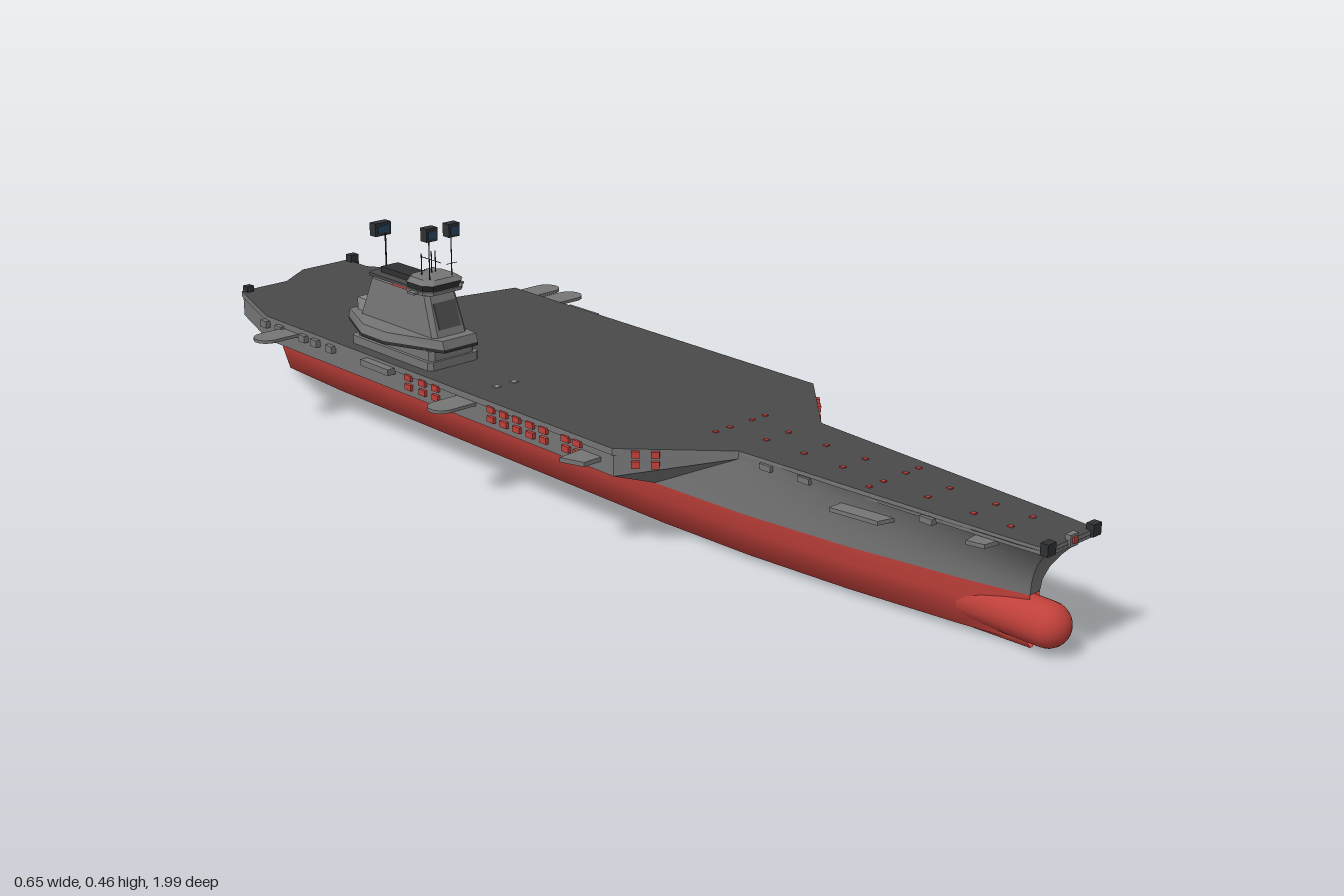
import * as THREE from 'three';

const mat = (name, color) => new THREE.MeshStandardMaterial({ name, color, side: THREE.DoubleSide });

export function createModel() {
  const ship = new THREE.Group();
  ship.name = 'aircraftCarrier';
  const grey = mat('hull grey', 0x757575);
  const deckGrey = mat('deck grey', 0x4a4a4a);
  const red = mat('red', 0xc0403a);
  const dark = mat('dark grey', 0x2e3032);
  const blue = mat('radar blue', 0x27455f);
  const pale = mat('pale grey', 0x8c8c8c);

  const add = (name, geo, material, x = 0, y = 0, z = 0, ry = 0) => {
    const m = new THREE.Mesh(geo, material);
    m.name = name;
    m.position.set(x, y, z);
    m.rotation.y = ry;
    ship.add(m);
    return m;
  };
  const box = (name, material, w, h, d, x, y, z, ry) =>
    add(name, new THREE.BoxGeometry(w, h, d), material, x, y, z, ry);

  // Skin stretched over rows of [x, y, z] points
  const skin = (rows, smooth = false) => {
    const n = rows[0].length, index = [];
    for (let i = 0; i < rows.length - 1; i++)
      for (let j = 0; j < n - 1; j++) {
        const a = i * n + j, b = a + n;
        index.push(a, b, a + 1, b, b + 1, a + 1);
      }
    let g = new THREE.BufferGeometry();
    g.setAttribute('position', new THREE.Float32BufferAttribute(rows.flat(2), 3));
    g.setIndex(index);
    if (!smooth) g = g.toNonIndexed();
    g.computeVertexNormals();
    return g;
  };
  // Horizontal slab from an [x, z] outline, bottom at y
  const slab = (name, material, outline, y, h) => {
    const shape = new THREE.Shape(outline.map(([x, z]) => new THREE.Vector2(x, -z)));
    const g = new THREE.ExtrudeGeometry(shape, { depth: h, bevelEnabled: false });
    return add(name, g.rotateX(-Math.PI / 2), material, 0, y, 0);
  };
  // Closed prism whose top and bottom outlines differ
  const prism = (name, material, low, high, y0, y1) => {
    const ring = (p, y) => [...p, p[0]].map(([x, z]) => [x, y, z]);
    const hub = (p, y) => {
      const c = [0, 1].map(k => p.reduce((s, q) => s + q[k], 0) / p.length);
      return [...p, p[0]].map(() => [c[0], y, c[1]]);
    };
    return add(name, skin([hub(low, y0), ring(low, y0), ring(high, y1), hub(high, y1)]), material);
  };

  // Red underwater hull: stations of [z, half width]
  const stations = [[-0.945, 0.1], [-0.75, 0.11], [0.2, 0.11], [0.4, 0.1], [0.6, 0.076], [0.8, 0.04], [0.88, 0.022], [0.92, 0.012]];
  const bilge = [[1, 0.092], [0.96, 0.062], [0.8, 0.012], [0.28, 0.002]];
  const ring = ([z, w]) => [
    ...bilge.map(([k, y]) => [-w * k, y, z]),
    ...[...bilge].reverse().map(([k, y]) => [w * k, y, z])];
  add('underwaterHull', skin(stations.map(ring), true), red);
  const sternRing = ring(stations[0]);
  add('lowerTransom', skin([sternRing.map(() => [0, 0.092, -0.945]), sternRing]), red);
  const bulb = new THREE.CapsuleGeometry(0.037, 0.36, 8, 20).rotateX(Math.PI / 2);
  add('bulbousBow', bulb, red, 0, 0.05, 0.767);

  // Flared topsides: deck half width and deck z over each waterline station
  const rim = [[0.108, -0.945], [0.11, -0.75], [0.11, 0.2], [0.1, 0.4], [0.09, 0.6], [0.073, 0.83], [0.066, 0.93], [0.06, 0.982]];
  const steps = [0, 0.2, 0.4, 0.6, 0.8, 1];
  const topside = s => stations.map(([z, w], i) => steps.map(t => {
    const f = t * t;
    return [s * (w + (rim[i][0] - w) * f), 0.092 + 0.103 * t, z + (rim[i][1] - z) * f];
  }));
  for (const s of [1, -1]) add('topside', skin(topside(s), true), grey);
  add('stem', skin([topside(1).at(-1), topside(-1).at(-1)], true), grey);

  // Flight deck with the lift notch on the left quarter
  const outline = [[0.06, 0.98], [0.067, 0.9], [0.1, 0.39], [0.243, 0.24], [0.243, -0.59], [0.1, -0.622],
    [0.088, -0.63], [0.088, -0.77], [0.195, -0.77], [0.195, -0.81], [0.115, -0.93], [0.115, -1], [0, -1],
    [-0.075, -0.95], [-0.185, -0.95], [-0.245, -0.77], [-0.245, 0.24], [-0.1, 0.39], [-0.067, 0.9], [-0.06, 0.98]];
  slab('flightDeck', [deckGrey, grey], outline, 0.188, 0.012);

  // Side sponsons: each row is deck edge, knuckle, waterline
  const sponson = (rows, name) => {
    add(name + 'Side', skin(rows.map(r => r.slice(0, 2))), grey);
    add(name + 'Underside', skin(rows.map(r => r.slice(1))), grey);
  };
  const nose = s => [
    [[s * 0.1, 0.198, 0.389], [s * 0.1, 0.186, 0.389], [s * 0.11, 0.092, 0.2]],
    [[s * 0.242, 0.198, 0.24], [s * 0.242, 0.15, 0.24], [s * 0.11, 0.092, 0.2]]];
  sponson([...nose(1),
    [[0.242, 0.198, -0.59], [0.242, 0.15, -0.59], [0.11, 0.092, -0.6]],
    [[0.09, 0.198, -0.63], [0.09, 0.15, -0.63], [0.09, 0.092, -0.62]]], 'leftSponson');
  sponson([...nose(-1),
    [[-0.244, 0.198, -0.77], [-0.244, 0.15, -0.77], [-0.11, 0.092, -0.75]],
    [[-0.185, 0.198, -0.945], [-0.185, 0.15, -0.945], [-0.1, 0.092, -0.945]],
    [[-0.09, 0.198, -0.945], [-0.09, 0.15, -0.945], [-0.09, 0.092, -0.945]]], 'rightSponson');

  // Left stern quarter with its framed opening
  slab('sternQuarter', grey, [[0.08, -0.772], [0.194, -0.772], [0.194, -0.81], [0.115, -0.943], [0.08, -0.943]], 0.095, 0.095);
  const port = (w, h) => {
    const c = 0.012;
    return [[-w, -h + c], [-w + c, -h], [w - c, -h], [w, -h + c], [w, h - c], [w - c, h], [-w + c, h], [-w, h - c]]
      .map(p => new THREE.Vector2(...p));
  };
  const frame = new THREE.Shape(port(0.056, 0.029));
  frame.holes.push(new THREE.Path(port(0.048, 0.022)));
  const quarterTurn = Math.PI / 2 + Math.atan2(0.079, 0.133);
  add('sternPortFrame', new THREE.ExtrudeGeometry(frame, { depth: 0.005, bevelEnabled: false }), dark, 0.155, 0.148, -0.877, quarterTurn);
  add('sternPort', new THREE.ShapeGeometry(new THREE.Shape(port(0.048, 0.022))), deckGrey, 0.1565, 0.148, -0.878, quarterTurn);

  // Transom, its dark bay, and the ledge below
  box('transom', grey, 0.2, 0.104, 0.006, 0, 0.143, -0.944);
  box('transomBay', dark, 0.17, 0.055, 0.006, 0, 0.155, -0.947);
  box('sternLedge', grey, 0.16, 0.006, 0.045, 0, 0.108, -0.968);
  for (const x of [-0.05, 0, 0.05]) box('bayPost', pale, 0.006, 0.055, 0.006, x, 0.155, -0.95);

  // Round-ended gallery platforms
  for (const [s, y, z] of [[-1, 0.184, -0.69], [-1, 0.184, -0.145], [1, 0.193, -0.555], [1, 0.193, -0.485]]) {
    box('platform', grey, 0.06, 0.006, 0.054, s * 0.268, y, z);
    add('platformEnd', new THREE.CylinderGeometry(0.027, 0.027, 0.006, 20), grey, s * 0.297, y, z);
  }
  slab('sideWing', grey, [[-0.24, 0.16], [-0.295, 0.165], [-0.28, 0.21], [-0.24, 0.21]], 0.168, 0.008);
  for (const s of [1, -1]) {
    box('sideGallery', grey, 0.022, 0.012, 0.085, s * 0.25, 0.188, -0.395);
    slab('bowGallery', grey, [[s * 0.07, 0.6], [s * 0.112, 0.6], [s * 0.1, 0.69], [s * 0.06, 0.7]], 0.16, 0.007);
    slab('bowWing', grey, [[s * 0.05, 0.85], [s * 0.092, 0.855], [s * 0.085, 0.885], [s * 0.05, 0.89]], 0.178, 0.007);
    box('bowBox', dark, 0.02, 0.02, 0.014, s * 0.056, 0.2, 0.978);
    for (const z of [0.45, 0.53, 0.77]) box('bowLocker', grey, 0.012, 0.01, 0.025, s * (0.1 - (z - 0.39) * 0.06), 0.188, z);
  }
  box('bowCentreBox', grey, 0.02, 0.02, 0.01, 0, 0.199, 0.979);
  box('bowLight', red, 0.01, 0.01, 0.004, 0, 0.2, 0.985);
  box('sternBox', dark, 0.02, 0.022, 0.018, 0.118, 0.204, -0.985);
  box('sternBox', dark, 0.016, 0.018, 0.016, -0.175, 0.203, -0.94);

  // Red raft canisters along the sides and on the angled shoulders
  for (const s of [1, -1])
    for (const y of [0.168, 0.186]) {
      for (const z of [0.155, 0.125, 0.068, 0.033, -0.003, -0.038, -0.073, -0.23, -0.268, -0.31])
        box('raft', red, 0.008, 0.011, 0.018, s * 0.245, y, z);
      for (const x of s > 0 ? [0.17, 0.194] : [0.195, 0.218])
        box('shoulderRaft', red, 0.014, 0.012, 0.012, s * x, y + 0.005, 0.39 - (x - 0.1) * 1.04, s * 0.8);
    }
  for (const z of [-0.82, -0.85, -0.88]) box('quarterRaft', red, 0.01, 0.008, 0.012, 0.19 + (z + 0.82) * 0.6, 0.184, z);
  for (const z of [-0.77, -0.72, -0.64, -0.6, -0.55])
    box('sideLocker', grey, 0.012, 0.014, 0.02, -0.248, 0.185, z);

  // Small deck lights
  for (const z of [0.3, 0.385, 0.47, 0.555, 0.64, 0.73, 0.82, 0.89])
    for (const x of [-0.03, 0.024]) box('deckLight', red, 0.008, 0.003, 0.008, x, 0.2005, z);
  for (const z of [0.3, 0.64])
    for (const x of [-0.064, 0.056]) box('deckLight', red, 0.008, 0.003, 0.008, x, 0.2005, z);
  for (const x of [-0.185, -0.145]) box('deckHatch', pale, 0.012, 0.002, 0.012, x, 0.2005, -0.13);

  // Island: stepped base, broad gallery, tapered tower, bridge
  const rect = (x0, x1, z0, z1, c = 0.008) => [[x0 + c, z1], [x1 - c, z1], [x1, z1 - c], [x1, z0 + c],
    [x1 - c, z0], [x0 + c, z0], [x0, z0 + c], [x0, z1 - c]];
  prism('islandBase', grey, rect(-0.222, -0.105, -0.52, -0.275), rect(-0.222, -0.105, -0.52, -0.275), 0.198, 0.216);
  prism('islandLower', grey, rect(-0.215, -0.112, -0.51, -0.28), rect(-0.215, -0.112, -0.51, -0.28), 0.216, 0.234);
  const gallery = g => [[-0.2, -0.26 - g], [-0.122, -0.26 - g], [-0.106 - g, -0.38], [-0.108 - g, -0.555 + g],
    [-0.2, -0.555 + g], [-0.247 + g, -0.45], [-0.247 + g, -0.38]];
  prism('islandGallery', dark, gallery(0), gallery(0), 0.234, 0.24);
  prism('islandGalleryWall', grey, gallery(0), gallery(0.005), 0.24, 0.256);
  prism('islandTower', grey, rect(-0.203, -0.124, -0.515, -0.285), rect(-0.198, -0.128, -0.485, -0.312), 0.256, 0.331);
  prism('towerStripe', red, rect(-0.2, -0.126, -0.42, -0.305), rect(-0.2, -0.126, -0.42, -0.305), 0.331, 0.335);
  prism('towerRoof', deckGrey, rect(-0.2, -0.126, -0.49, -0.31), rect(-0.2, -0.126, -0.49, -0.31), 0.335, 0.341);
  const bridge = (g, f) => rect(-0.209 + g, -0.116 - g, -0.37, -0.295 - f, 0.014);
  prism('bridgeFloor', grey, bridge(0, 0), bridge(0, 0), 0.334, 0.34);
  prism('bridgeWindows', dark, bridge(0.004, 0.004), bridge(0, 0), 0.34, 0.352);
  prism('bridgeRoof', grey, bridge(0, 0), bridge(0.01, 0.008), 0.352, 0.36);
  box('bridgeWing', grey, 0.116, 0.004, 0.02, -0.162, 0.337, -0.33);
  box('funnel', dark, 0.04, 0.012, 0.09, -0.162, 0.346, -0.425);
  box('aftHouse', pale, 0.06, 0.025, 0.03, -0.162, 0.268, -0.52);
  box('towerPanel', deckGrey, 0.05, 0.05, 0.004, -0.163, 0.292, -0.298).rotation.x = -0.34;

  // Masts and yards
  const pole = (x, y0, y1, z, r = 0.001) =>
    add('mast', new THREE.CylinderGeometry(r, r, y1 - y0, 6), dark, x, (y0 + y1) / 2, z);
  for (const x of [-0.189, -0.138]) pole(x, 0.35, 0.435, -0.312);
  for (const x of [-0.178, -0.155, -0.146]) pole(x, 0.35, 0.4, -0.35);
  pole(-0.162, 0.335, 0.41, -0.48, 0.0015);
  for (const x of [-0.189, -0.138]) box('yard', dark, 0.025, 0.001, 0.001, x, 0.382, -0.312);
  box('yard', dark, 0.001, 0.001, 0.06, -0.16, 0.386, -0.345);

  // Radar panels with blue faces
  for (const [x, y, z, w] of [[-0.188, 0.446, -0.312, 0.025], [-0.137, 0.446, -0.312, 0.025], [-0.162, 0.417, -0.495, 0.036]]) {
    box('radar', dark, w, 0.025, 0.018, x, y, z);
    for (const s of [1, -1]) box('radarFace', blue, w * 0.7, 0.014, 0.002, x, y, z + s * 0.0095);
  }
  return ship;
}
